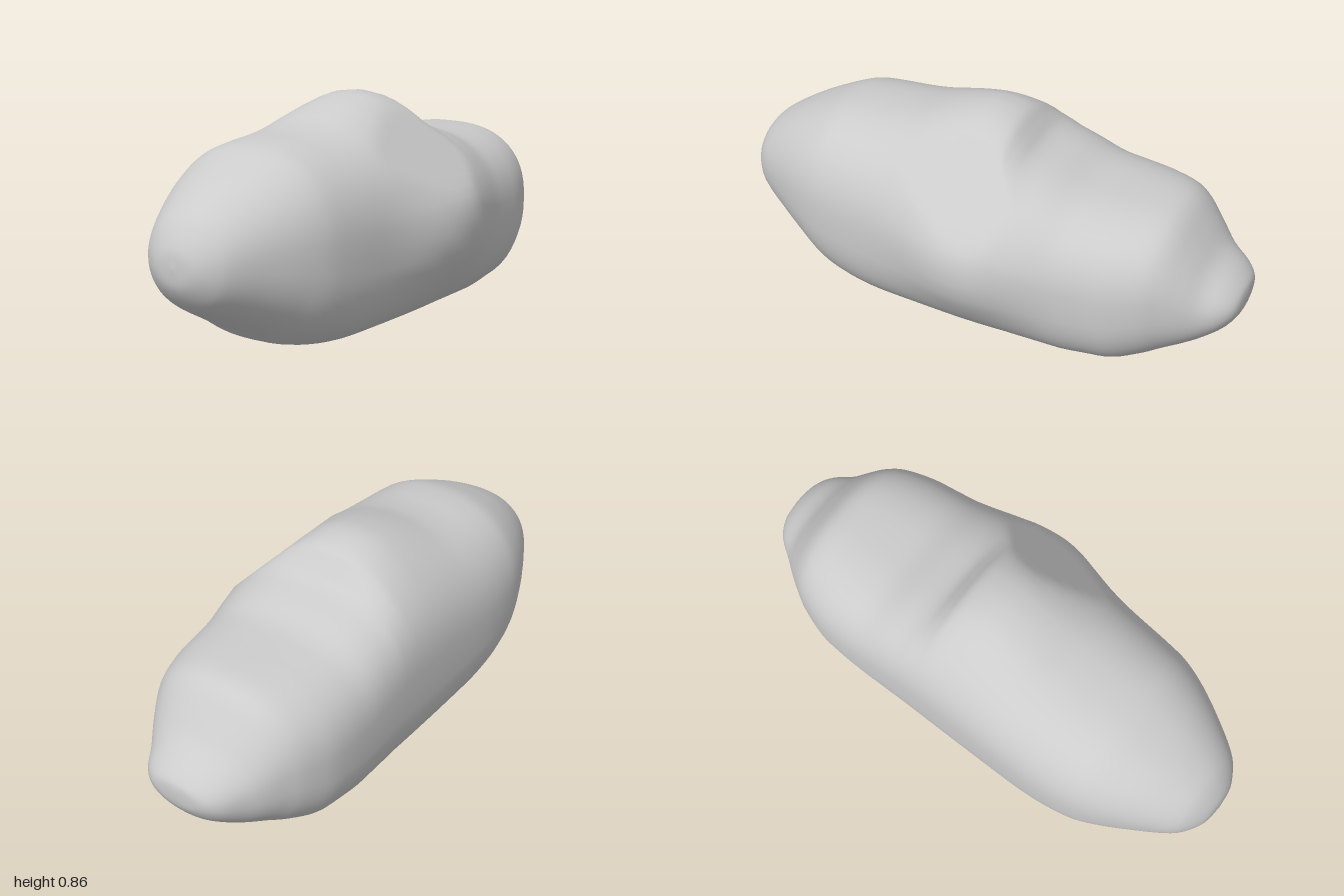
import * as THREE from 'three';

// Stations from front to back: z, underside height, top height, half width
const STATIONS = [
  [1.0, 0.38, 0.40, 0.005], [0.99, 0.32, 0.46, 0.08], [0.95, 0.26, 0.53, 0.15],
  [0.9, 0.22, 0.58, 0.195], [0.8, 0.165, 0.645, 0.255], [0.7, 0.11, 0.695, 0.307],
  [0.6, 0.05, 0.735, 0.345], [0.5, 0.02, 0.75, 0.362], [0.4, 0.005, 0.757, 0.37],
  [0.3, 0, 0.775, 0.372], [0.2, 0, 0.81, 0.372], [0.1, 0, 0.84, 0.372],
  [0, 0, 0.855, 0.372], [-0.1, 0, 0.835, 0.372], [-0.15, 0, 0.785, 0.372],
  [-0.2, 0, 0.735, 0.372], [-0.3, 0, 0.7, 0.372], [-0.4, 0, 0.665, 0.372],
  [-0.5, 0.01, 0.655, 0.37], [-0.6, 0.02, 0.65, 0.36], [-0.7, 0.06, 0.64, 0.328],
  [-0.76, 0.09, 0.61, 0.295], [-0.82, 0.12, 0.54, 0.257], [-0.88, 0.155, 0.465, 0.214],
  [-0.95, 0.21, 0.415, 0.165], [-0.99, 0.265, 0.375, 0.105], [-1.0, 0.305, 0.345, 0.02],
];
const RING = 64, STEPS = 4, AXIS_X = -0.05, CREST = 0.74;
const { smoothstep } = THREE.MathUtils;
const bell = (d, width) => Math.exp(-0.5 * (d / width) ** 2);
const signedPow = (v, p) => Math.sign(v) * Math.abs(v) ** p;

// One point on the boulder's skin: section, crest, side bulge and sloped shoulder
function skinPoint([z, low, high, half], angle) {
  // Sections are squarish mid-length, round at the tips, narrower on the front top
  const sin = Math.sin(angle);
  const taper = sin > 0 ? 0.35 * smoothstep(z, -0.1, 0.5) : 0;
  const power = 2 / (2 + (0.9 - taper) * (1 - z * z));
  const dx = half * signedPow(Math.cos(angle), power);
  const up = signedPow(sin, power);
  const top = Math.min(high, CREST);
  let x = AXIS_X + dx;
  let y = (low + top) / 2 + ((top - low) / 2) * up;
  y += (high - top) * bell(dx, 0.19) * Math.max(up, 0);
  const side = smoothstep(dx / half, 0, 0.9);
  x += 0.103 * side * bell(y - 0.39, 0.15) * bell(z + 0.06, 0.19);
  // Sloped shoulder above the side bulge
  const excess = Math.max(0, 0.73 * x + 0.68 * y - 0.63);
  return [x - 0.73 * excess, y - 0.68 * excess, z];
}

function boulderGeometry() {
  const spline = new THREE.CubicInterpolant(
    STATIONS.map((_, i) => i), STATIONS.flat(), 4, new Float32Array(4));
  const rows = (STATIONS.length - 1) * STEPS;
  const positions = [], index = [];
  for (let r = 0; r <= rows; r++) {
    const station = Array.from(spline.evaluate(r / STEPS));
    station[0] = THREE.MathUtils.clamp(station[0], -1, 1);
    station[1] = Math.max(station[1], 0);
    for (let i = 0; i < RING; i++) {
      positions.push(...skinPoint(station, (i / RING) * Math.PI * 2));
    }
  }
  for (let r = 0; r < rows; r++) {
    for (let i = 0; i < RING; i++) {
      const a = r * RING + i, b = r * RING + ((i + 1) % RING);
      index.push(a, a + RING, b, b, a + RING, b + RING);
    }
  }
  // Close both tips
  const count = (rows + 1) * RING, last = rows * RING;
  positions.push(AXIS_X, 0.39, 1, AXIS_X, 0.325, -1);
  for (let i = 0; i < RING; i++) {
    const j = (i + 1) % RING;
    index.push(count, i, j, count + 1, last + j, last + i);
  }
  const geometry = new THREE.BufferGeometry();
  geometry.setAttribute('position', new THREE.Float32BufferAttribute(positions, 3));
  geometry.setIndex(index);
  geometry.computeVertexNormals();
  return geometry;
}

export function createModel() {
  const group = new THREE.Group();
  group.name = 'rock';
  const boulder = new THREE.Mesh(
    boulderGeometry(), new THREE.MeshStandardMaterial({ color: 0xcccccc }));
  boulder.name = 'boulder';
  group.add(boulder);
  return group;
}
